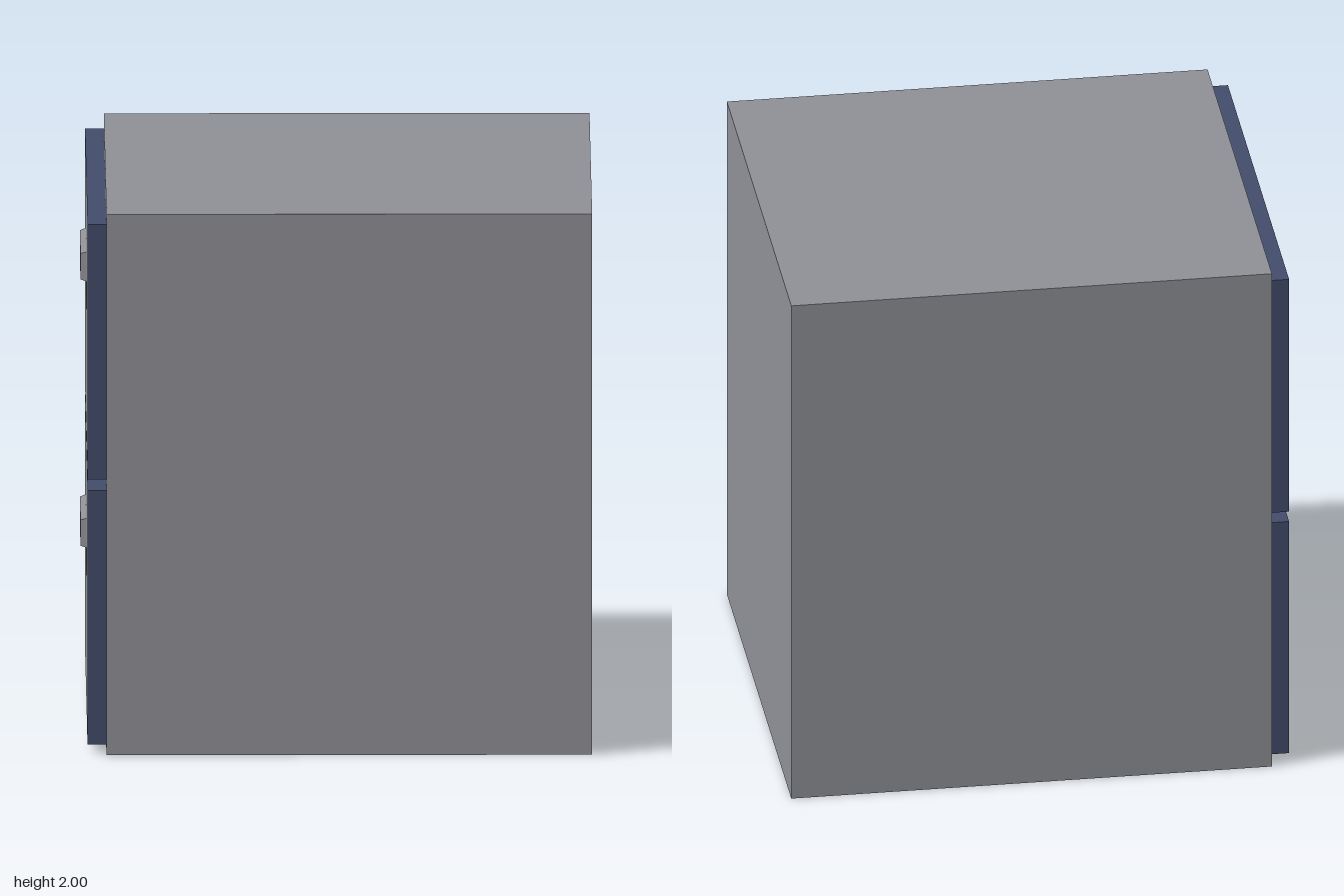
import * as THREE from 'three';

const grey = new THREE.MeshStandardMaterial({ color: 0x8f9096 });
grey.name = 'steel grey';
const blue = new THREE.MeshStandardMaterial({ color: 0x424d6b });
blue.name = 'slate blue';

// Rectangle in the (z, y) plane
function trace(path, z0, z1, y0, y1) {
  path.moveTo(z0, y0);
  path.lineTo(z1, y0);
  path.lineTo(z1, y1);
  path.lineTo(z0, y1);
  path.closePath();
  return path;
}

// Plate with openings, extruded from x towards -x
function plate(outline, holes, x, depth) {
  const shape = trace(new THREE.Shape(), ...outline);
  holes.forEach((h) => shape.holes.push(trace(new THREE.Path(), ...h)));
  const geo = new THREE.ExtrudeGeometry(shape, { depth, bevelEnabled: false });
  return geo.rotateY(-Math.PI / 2).translate(x, 0, 0);
}

function add(parent, name, geo, material) {
  const mesh = new THREE.Mesh(geo, material);
  mesh.name = name;
  parent.add(mesh);
  return mesh;
}

export function createModel() {
  const cabinet = new THREE.Group();
  cabinet.name = 'filingCabinet';

  const drawers = [
    { name: 'lowerDrawer', y0: 0.03, y1: 0.97, grip: 0.475 },
    { name: 'upperDrawer', y0: 1.01, y1: 1.953, grip: 1.46 },
  ];
  const opening = (d) => [-0.19, 0.195, d.grip, d.grip + 0.255];

  // Cabinet body, with a thin face that the finger recesses cut into
  add(cabinet, 'body', new THREE.BoxGeometry(1.73, 2, 1.615).translate(0.055, 1, 0), grey);
  add(cabinet, 'bodyFace',
    plate([-0.8075, 0.8075, 0, 2], drawers.map(opening), -0.81, 0.02), grey);

  for (const d of drawers) {
    const drawer = new THREE.Group();
    drawer.name = d.name;
    cabinet.add(drawer);

    // Drawer panel: grey face and recess walls, blue outer rim
    const geo = plate([-0.77, 0.765, d.y0, d.y1], [opening(d)], -0.83, 0.068);
    const caps = geo.groups[0].count;
    geo.clearGroups();
    geo.addGroup(0, caps, 0);
    geo.addGroup(caps, 24, 1);
    geo.addGroup(caps + 24, 24, 0);
    add(drawer, 'panel', geo, [grey, blue]);

    // Pull lip over the top of the recess, tapering outwards
    const lip = new THREE.BoxGeometry(0.024, 0.11, 0.385);
    const p = lip.attributes.position;
    for (let i = 0; i < p.count; i++) {
      if (p.getX(i) < 0) p.setXYZ(i, p.getX(i), p.getY(i) * 0.87, p.getZ(i) * 0.97);
    }
    lip.computeVertexNormals();
    lip.translate(-0.908, d.grip + 0.205, 0.0025);
    add(drawer, 'handle', lip, grey);
  }

  return cabinet;
}
